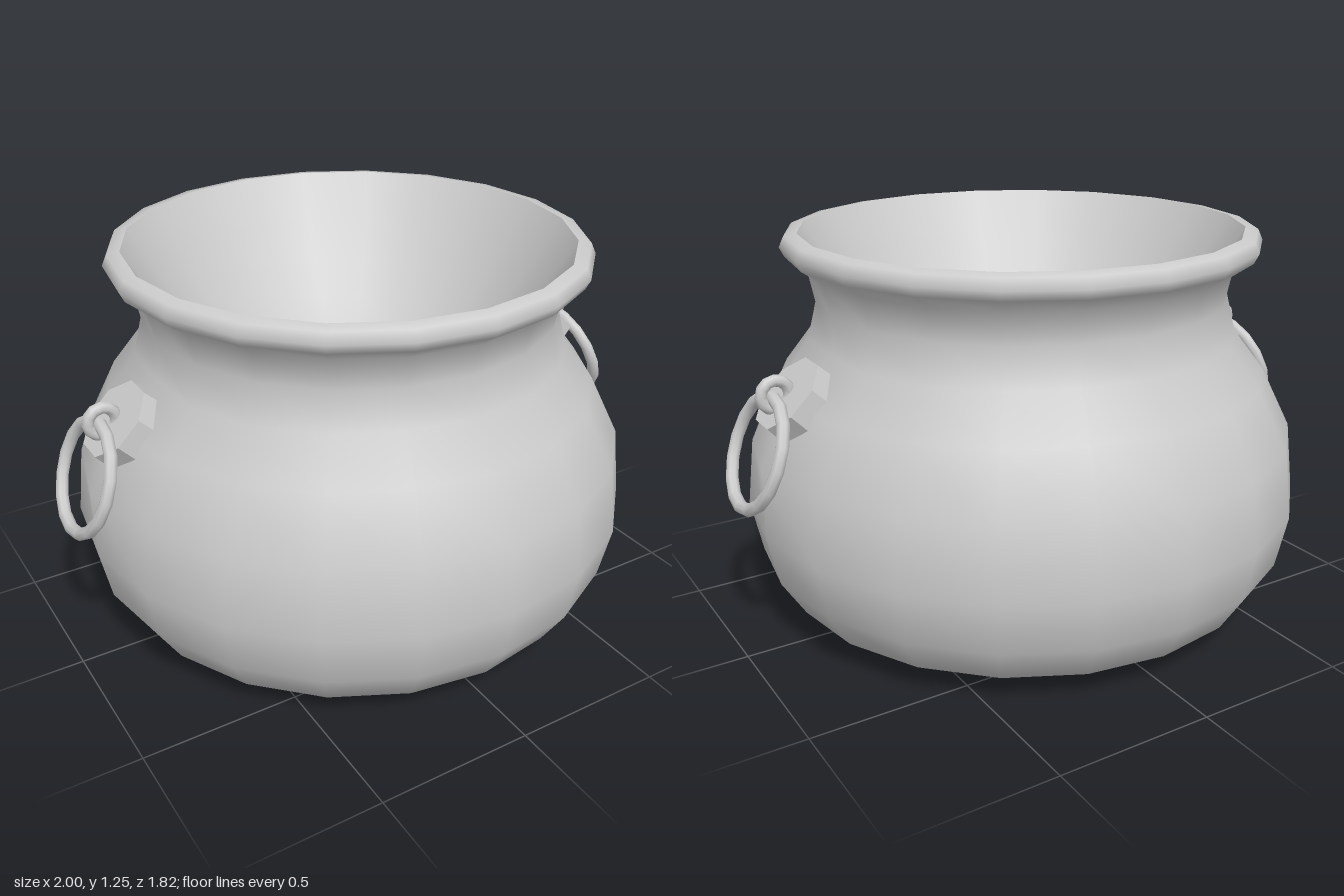
import * as THREE from 'three';
import { toCreasedNormals } from 'three/addons/utils/BufferGeometryUtils.js';

const material = new THREE.MeshStandardMaterial({ color: 0xcccccc });

function part(name, geometry, x = 0, y = 0) {
  const mesh = new THREE.Mesh(geometry, material);
  mesh.name = name;
  mesh.position.set(x, y, 0);
  return mesh;
}

// Outer wall: base, belly, neck and rolled rim
function potGeometry() {
  const profile = [
    [0, 0], [0.5, 0], [0.8, 0.095], [0.875, 0.215], [0.91, 0.385], [0.885, 0.6],
    [0.79, 0.79], [0.69, 0.92], [0.66, 1.04], [0.68, 1.14], [0.745, 1.185],
    [0.76, 1.215], [0.745, 1.248], [0.705, 1.255],
  ].map(([r, y]) => new THREE.Vector2(r, y));
  const geometry = new THREE.LatheGeometry(profile, 20);

  // Shape the wall under the two handles, along the x axis
  const seats = { 5: 0.91, 6: 0.81, 7: 0.665 };
  const pos = geometry.attributes.position;
  for (let i = 0; i < pos.count; i++) {
    const r = seats[i % profile.length];
    if (r && Math.abs(pos.getZ(i)) < 0.01) pos.setX(i, Math.sign(pos.getX(i)) * r);
  }
  return geometry;
}

// Smooth round bowl inside the rim
function bowlGeometry() {
  const profile = [];
  for (let i = 8; i >= 0; i--) {
    const t = i / 8;
    profile.push(new THREE.Vector2(0.705 * t, 1.255 - 0.6 * (1 - t * t)));
  }
  return new THREE.LatheGeometry(profile, 20);
}

// Handle on the +x side: tilted plate, staple loop and hanging ring
function makeHandle(name) {
  const handle = new THREE.Group();
  handle.name = name;

  const plateShape = new THREE.CylinderGeometry(0.128, 0.132, 0.07, 8, 1, false, Math.PI / 8);
  const plate = part('handlePlate', toCreasedNormals(plateShape, 0.5), 0.79, 0.807);
  plate.rotation.z = -Math.PI / 4;

  const loop = part('handleLoop', new THREE.TorusGeometry(0.044, 0.019, 8, 12), 0.85, 0.832);

  const ring = part('handleRing', new THREE.TorusGeometry(0.172, 0.02, 8, 16), 0.919, 0.664);
  ring.rotation.set(0, Math.PI / 2, 0.37, 'ZYX');

  handle.add(plate, loop, ring);
  return handle;
}

export function createModel() {
  const model = new THREE.Group();
  model.name = 'cauldron';
  const left = makeHandle('leftHandle');
  const right = makeHandle('rightHandle');
  right.rotation.y = Math.PI;
  model.add(part('pot', potGeometry()), part('bowl', bowlGeometry()), left, right);
  return model;
}
